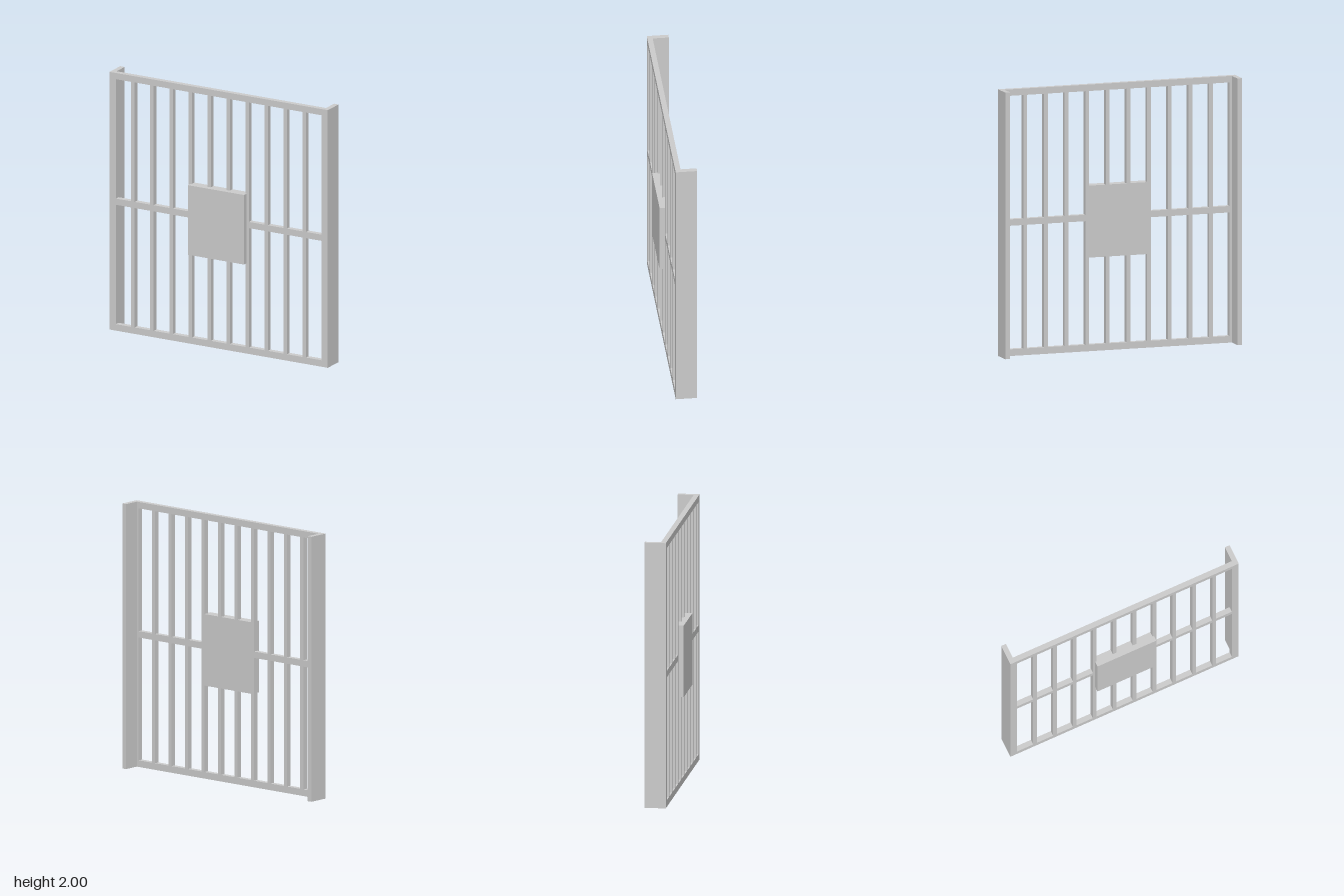
import * as THREE from 'three';

export function createModel() {
  const model = new THREE.Group();
  model.name = 'barredGate';
  const material = new THREE.MeshStandardMaterial({ color: 0xcccccc, flatShading: true });

  // Box given by its minimum and maximum corners
  function block(name, [x0, y0, z0], [x1, y1, z1]) {
    const mesh = new THREE.Mesh(new THREE.BoxGeometry(x1 - x0, y1 - y0, z1 - z0), material);
    mesh.position.set((x0 + x1) / 2, (y0 + y1) / 2, (z0 + z1) / 2);
    mesh.name = name;
    model.add(mesh);
  }

  const halfWidth = 0.932, inner = 0.877, height = 2;
  const back = 0.02, front = 0.06;

  // Side stiles, each with a flange running backwards
  for (const side of [-1, 1]) {
    const label = side > 0 ? 'left' : 'right';
    const span = (a, b) => [Math.min(side * a, side * b), Math.max(side * a, side * b)];
    const [s0, s1] = span(inner, halfWidth);
    block(label + 'Stile', [s0, 0, back], [s1, height, front]);
    const [f0, f1] = span(halfWidth - 0.038, halfWidth);
    block(label + 'Flange', [f0, 0, -0.1], [f1, height, back]);
  }

  // Horizontal rails
  block('bottomRail', [-inner, 0, back], [inner, 0.05, front]);
  block('middleRail', [-inner, 0.977, back], [inner, 1.025, front]);
  block('topRail', [-inner, 1.952, back], [inner, height, front]);

  // Ten evenly spaced vertical bars
  const barCount = 10, spacing = 0.1625, barHalf = 0.015;
  for (let i = 0; i < barCount; i++) {
    const x = (i - (barCount - 1) / 2) * spacing;
    block('bar' + (i + 1), [x - barHalf, 0.05, back], [x + barHalf, 1.952, front]);
  }

  // Lock plate, proud at the front and flush with the bars at the back
  block('lockPlate', [-0.24, 0.702, back], [0.24, 1.242, 0.1]);

  return model;
}
